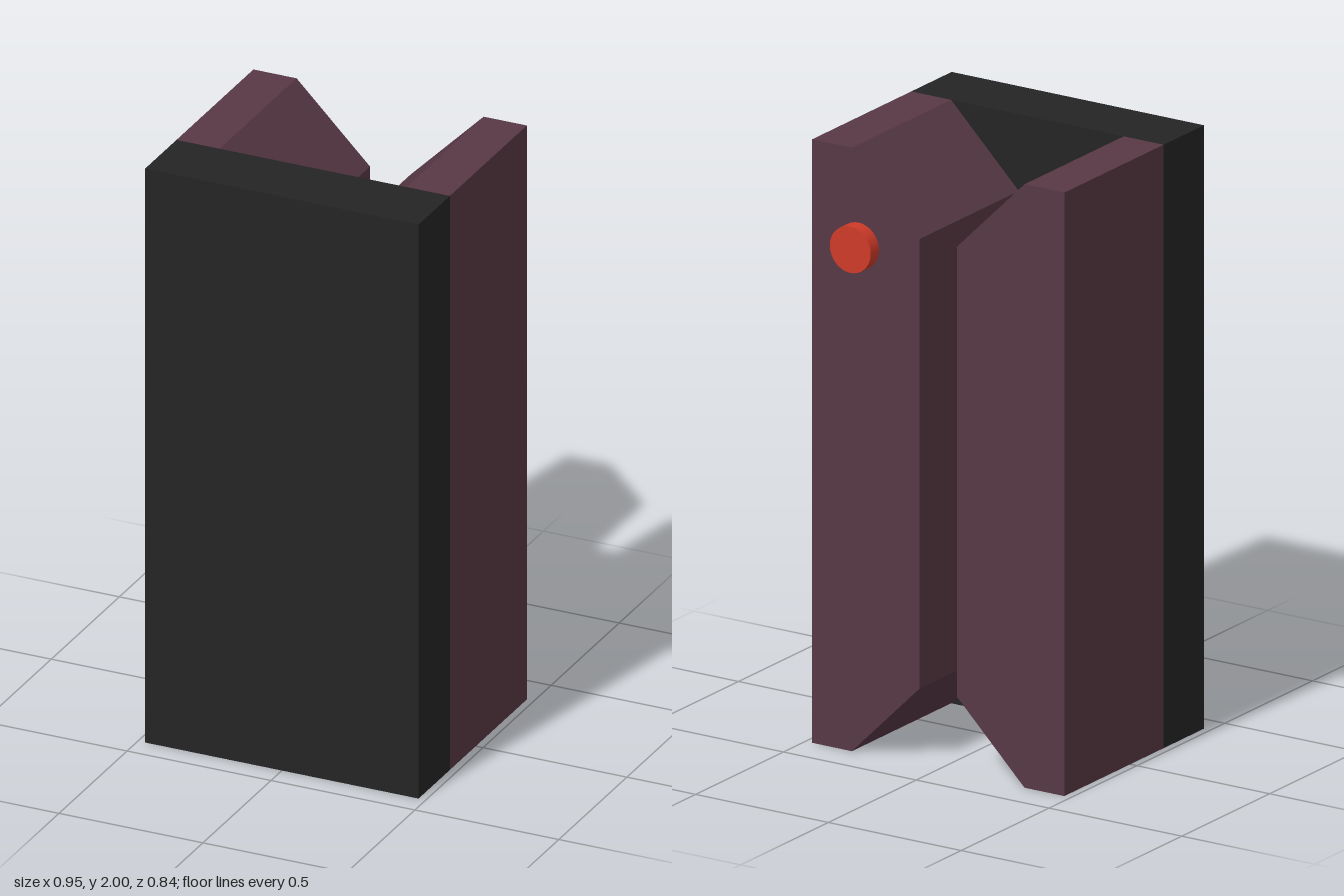
import * as THREE from 'three';

const HALF_W = 0.475, HEIGHT = 2;
const BACK = -0.375, SEAM = 0.19, FRONT = 0.42;

const material = (color) => new THREE.MeshStandardMaterial({ color });

function part(name, geometry, mat) {
  const mesh = new THREE.Mesh(geometry, mat);
  mesh.name = name;
  return mesh;
}

// Upright rail with its inner top and bottom corners cut at 45 degrees
function railGeometry(side) {
  const inner = 0.07, cut = 0.255;
  const outline = [
    [HALF_W, 0], [HALF_W, HEIGHT], [inner + cut, HEIGHT],
    [inner, HEIGHT - cut], [inner, cut], [inner + cut, 0],
  ].map(([x, y]) => new THREE.Vector2(side * x, y));
  const geometry = new THREE.ExtrudeGeometry(new THREE.Shape(outline), {
    depth: SEAM - BACK, bevelEnabled: false,
  });
  return geometry.translate(0, 0, BACK);
}

export function createModel() {
  const model = new THREE.Group();
  model.name = 'slottedBlock';
  const dark = material(0x242424);
  const plum = material(0x573844);
  const red = material(0xcf3a28);

  // Front slab
  const slab = part('frontPlate', new THREE.BoxGeometry(2 * HALF_W, HEIGHT, FRONT - SEAM), dark);
  slab.position.set(0, HEIGHT / 2, (FRONT + SEAM) / 2);
  model.add(slab);

  // Pair of rails with the open slot between them
  model.add(part('leftRail', railGeometry(1), plum));
  model.add(part('rightRail', railGeometry(-1), plum));

  // Round button on the back of the left rail
  const buttonDepth = 0.047;
  const button = part('button', new THREE.CylinderGeometry(0.077, 0.077, buttonDepth, 32), red);
  button.rotation.x = Math.PI / 2;
  button.position.set(0.3, 1.68, BACK - buttonDepth / 2);
  model.add(button);

  return model;
}
